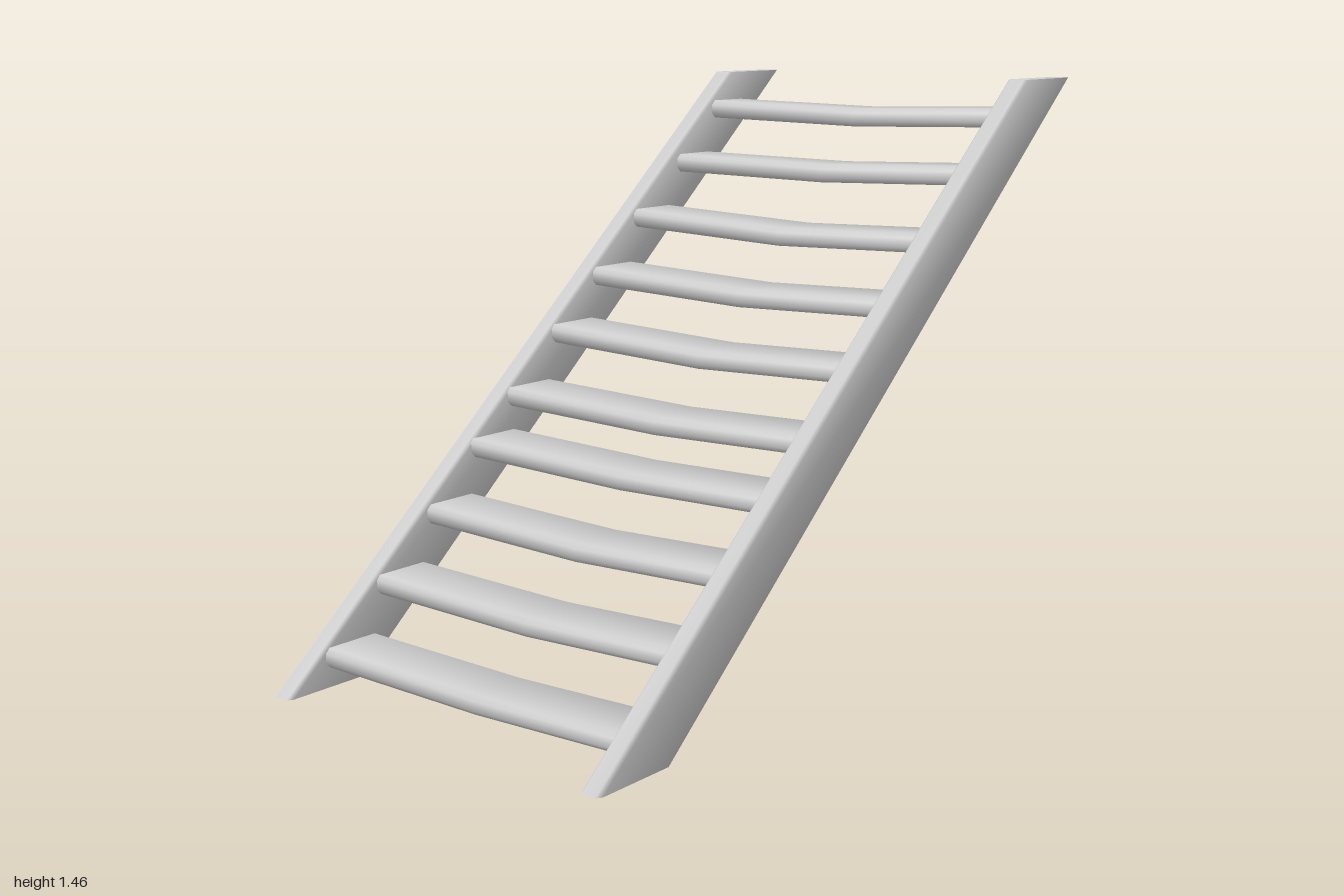
import * as THREE from 'three';
import { toCreasedNormals } from 'three/addons/utils/BufferGeometryUtils.js';

// Rectangle with chamfered corners, counter-clockwise, centred on the origin
function chamferedRect(w, h, cx, cy) {
  const a = w / 2, b = h / 2;
  return [
    [a, -b + cy], [a, b - cy], [a - cx, b], [-a + cx, b],
    [-a, b - cy], [-a, -b + cy], [-a + cx, -b], [a - cx, -b],
  ];
}

// Skin a list of equal-length rings and close both ends
function loft(rings) {
  const n = rings[0].length, last = (rings.length - 1) * n;
  const index = [];
  for (let s = 0; s < rings.length - 1; s++) {
    for (let j = 0; j < n; j++) {
      const k = (j + 1) % n;
      const a = s * n + j, b = s * n + k, c = b + n, d = a + n;
      index.push(a, b, c, a, c, d);
    }
  }
  for (let j = 1; j < n - 1; j++) {
    index.push(0, j + 1, j);
    index.push(last, last + j, last + j + 1);
  }
  const geo = new THREE.BufferGeometry();
  geo.setAttribute('position', new THREE.Float32BufferAttribute(rings.flat(2), 3));
  geo.setIndex(index);
  return toCreasedNormals(geo, 0.9);
}

export function createModel() {
  const group = new THREE.Group();
  const material = new THREE.MeshStandardMaterial({ color: 0xcccccc });
  const add = (geo, name) => {
    const mesh = new THREE.Mesh(geo, material);
    mesh.name = name;
    group.add(mesh);
  };

  // Sloping side boards with level-cut ends
  const board = chamferedRect(0.25, 0.058, 0.014, 0.009);
  for (const [name, z] of [['leftStringer', 0.495], ['rightStringer', -0.495]]) {
    const ring = (x, y) => board.map(([u, v]) => [x + u, y, z - v]);
    add(loft([ring(-0.875, 0), ring(0.875, 1.46)]), name);
  }

  // Worn treads: [back x, front x, mid-height at left end, centre, right end]
  const treads = [
    [-0.88, -0.705, 0.073, 0.059, 0.076],
    [-0.705, -0.53, 0.222, 0.204, 0.223],
    [-0.525, -0.35, 0.365, 0.348, 0.369],
    [-0.36, -0.185, 0.508, 0.496, 0.515],
    [-0.22, -0.045, 0.627, 0.612, 0.63],
    [-0.042, 0.133, 0.774, 0.757, 0.778],
    [0.128, 0.303, 0.914, 0.898, 0.917],
    [0.305, 0.475, 1.06, 1.044, 1.064],
    [0.502, 0.658, 1.218, 1.201, 1.207],
    [0.665, 0.815, 1.361, 1.346, 1.355],
  ];
  treads.forEach(([x0, x1, yLeft, yMid, yRight], i) => {
    const section = chamferedRect(x1 - x0, 0.05, 0.013, 0.013);
    const ring = (dx, y, z) => section.map(([u, v]) => [(x0 + x1) / 2 + dx + u, y + v, z]);
    add(loft([ring(0, yRight, -0.475), ring(0.012, yMid, 0.02), ring(0, yLeft, 0.475)]), `tread${i + 1}`);
  });

  return group;
}
